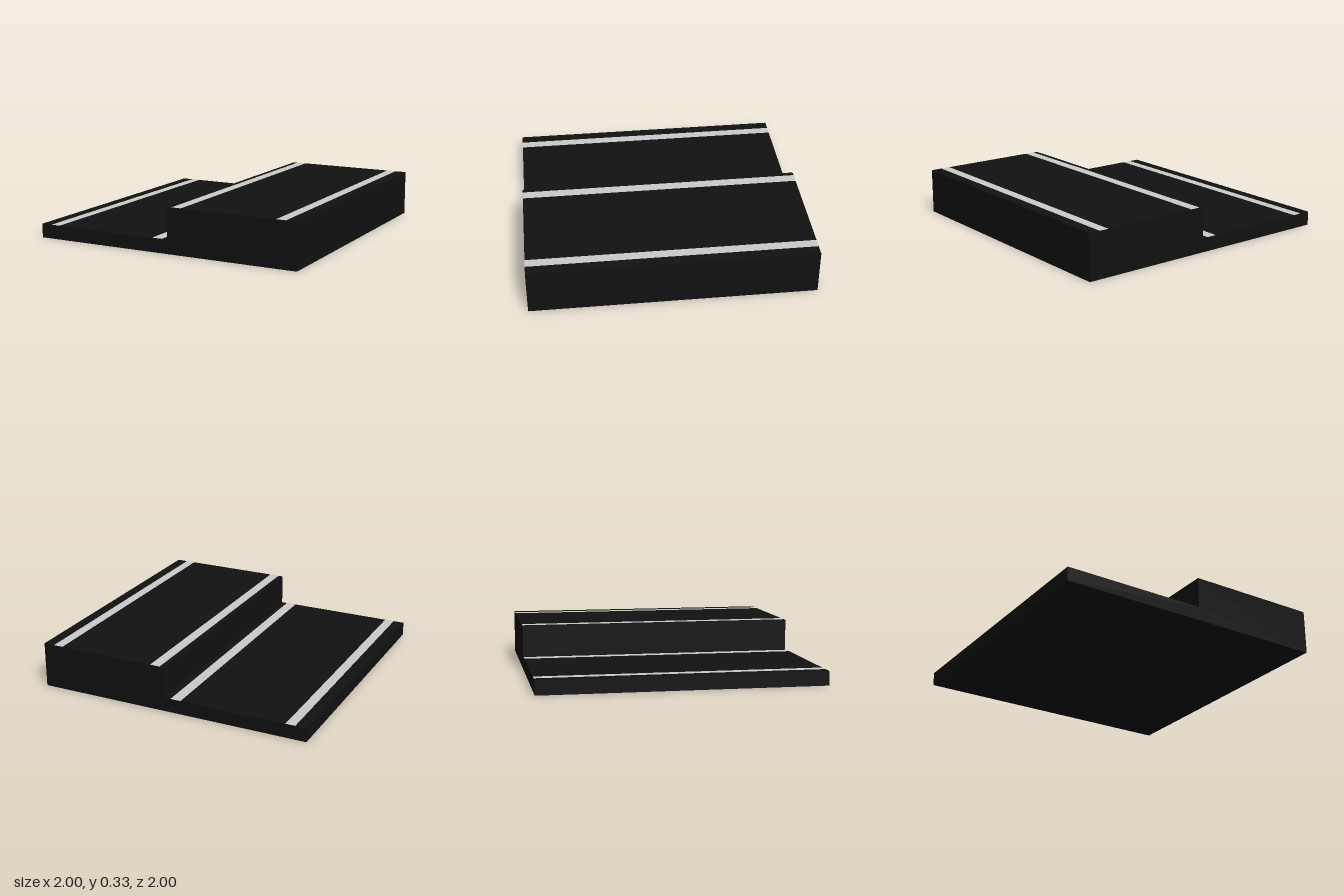
import * as THREE from 'three';

const LOW = 0.10, HIGH = 0.325, STEP_X = 0.04, LENGTH = 2;

export function createModel() {
  const group = new THREE.Group();
  group.name = 'steppedRoad';
  const black = new THREE.MeshStandardMaterial({ color: 0x111111 });
  const grey = new THREE.MeshStandardMaterial({ color: 0xcccccc });

  // Stepped slab: low lane on the right, raised lane on the left
  const profile = new THREE.Shape([
    [-1, 0], [1, 0], [1, HIGH], [STEP_X, HIGH], [STEP_X, LOW], [-1, LOW],
  ].map(([x, y]) => new THREE.Vector2(x, y)));
  const slabGeometry = new THREE.ExtrudeGeometry(profile, { depth: LENGTH, bevelEnabled: false });
  slabGeometry.translate(0, 0, -LENGTH / 2);
  const slab = new THREE.Mesh(slabGeometry, black);
  slab.name = 'slab';
  group.add(slab);

  // Flat edge lines lying on each lane
  const lines = [
    ['lowLaneOuterLine', -0.92, -0.85, LOW],
    ['lowLaneInnerLine', -0.08, -0.003, LOW],
    ['highLaneInnerLine', 0.075, 0.148, HIGH],
    ['highLaneOuterLine', 0.85, 0.92, HIGH],
  ];
  for (const [name, x0, x1, y] of lines) {
    const line = new THREE.Mesh(new THREE.PlaneGeometry(x1 - x0, LENGTH).rotateX(-Math.PI / 2), grey);
    line.position.set((x0 + x1) / 2, y + 0.001, 0);
    line.name = name;
    group.add(line);
  }
  return group;
}
